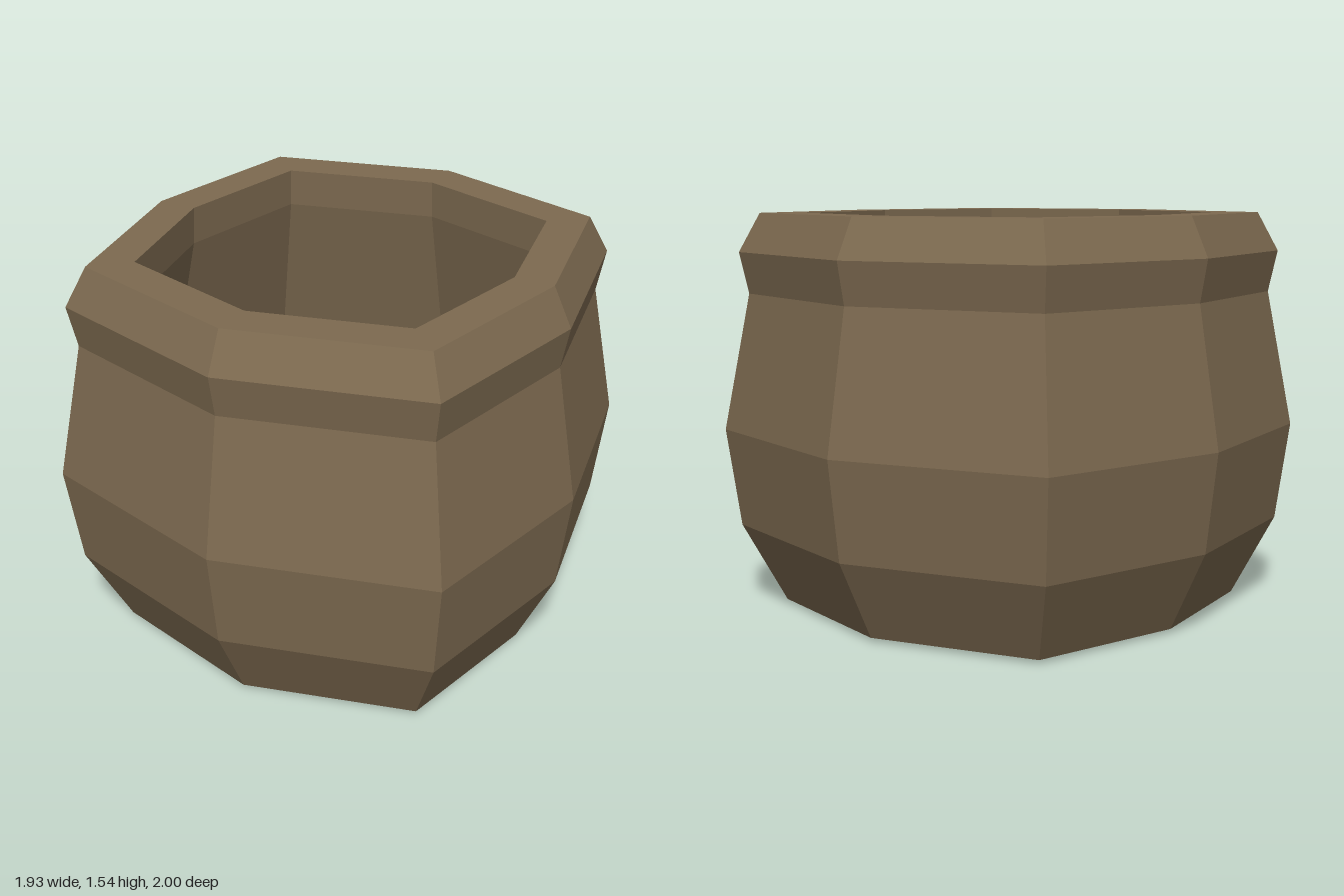
import * as THREE from 'three';

const SIDES = 8;

// Turns an [radius, height] profile into an eight-sided ring with slightly squared plan
function ring(name, profile, material) {
  const points = profile.map(([r, y]) => new THREE.Vector2(r, y));
  const geometry = new THREE.LatheGeometry(points, SIDES);
  const pos = geometry.attributes.position;
  for (let i = 0; i < pos.count; i++) {
    const x = pos.getX(i), z = pos.getZ(i);
    const diagonal = Math.abs(x) > 1e-4 && Math.abs(z) > 1e-4;
    pos.setX(i, x * (diagonal ? 1.141 : 0.966));
    pos.setZ(i, z * (diagonal ? 1.096 : 1));
  }
  geometry.computeVertexNormals();
  const mesh = new THREE.Mesh(geometry, material);
  mesh.name = name;
  return mesh;
}

export function createModel() {
  const group = new THREE.Group();
  group.name = 'pot';
  const clay = new THREE.MeshStandardMaterial({ color: 0x7d6a50, flatShading: true });
  clay.name = 'brown clay';

  group.add(
    // Slightly domed underside
    ring('base', [[0, 0], [0.797, 0.015]], clay),
    // Bulging outer wall up to the neck
    ring('body', [[0.797, 0.015], [0.95, 0.32], [1, 0.7], [0.908, 1.23]], clay),
    // Flared lip with a flat top
    ring('rim', [[0.908, 1.23], [0.94, 1.39], [0.866, 1.54], [0.707, 1.54]], clay),
    // Hollow interior, wider than the mouth
    ring('innerWall', [[0.707, 1.54], [0.715, 1.39], [0.86, 0.74], [0.82, 0.37], [0.72, 0.13]], clay),
    ring('innerFloor', [[0.72, 0.13], [0, 0.12]], clay)
  );
  return group;
}
